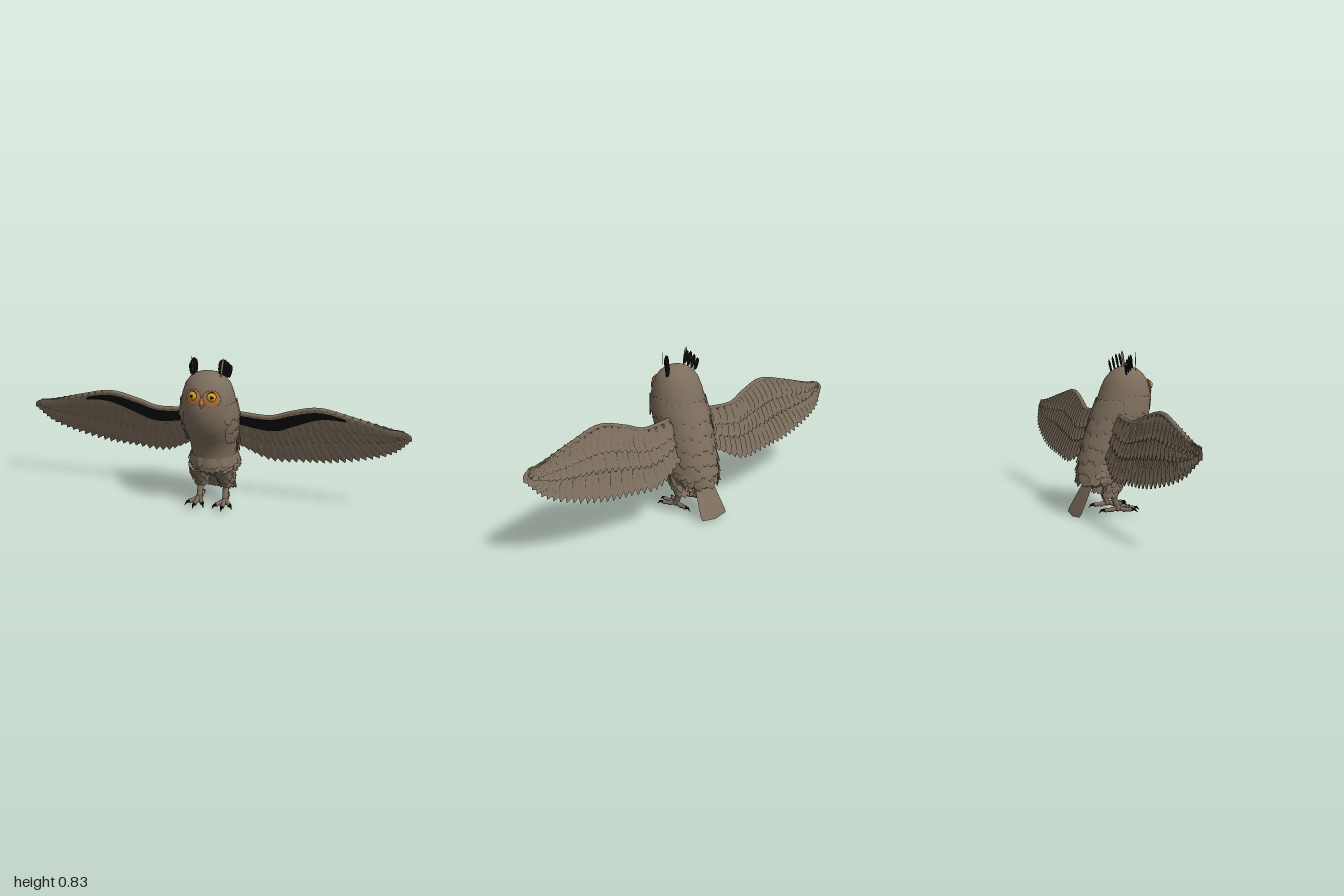
import * as THREE from 'three';
import { mergeGeometries } from 'three/addons/utils/BufferGeometryUtils.js';

const V = (x, y, z) => new THREE.Vector3(x, y, z);
const lerp = THREE.MathUtils.lerp;

function material(name, color, side = THREE.FrontSide) {
  const m = new THREE.MeshStandardMaterial({ color, side });
  m.name = name;
  return m;
}

// Skin over rows of points; columns run to the right, rows run up
function grid(rows, closed = false) {
  const n = rows[0].length, index = [];
  for (let i = 0; i < rows.length - 1; i++) {
    for (let j = 0; j < (closed ? n : n - 1); j++) {
      const k = (j + 1) % n, a = i * n + j, b = i * n + k, c = a + n, d = b + n;
      index.push(a, b, d, a, d, c);
    }
  }
  const g = new THREE.BufferGeometry().setFromPoints(rows.flat());
  g.setIndex(index);
  g.computeVertexNormals();
  return g;
}

// Cambered leaf-shaped feather from base to tip, facing along normal
const LEAF = [[0, 0.55], [0.3, 0.9], [0.65, 1], [0.88, 0.75], [1, 0.06]];
const BLUNT = [[0, 0.4], [0.4, 0.8], [0.9, 1], [1, 0.75]];
function feather(base, tip, width, normal, outline = LEAF) {
  const dir = tip.clone().sub(base);
  const side = normal.clone().cross(dir).normalize();
  const up = dir.clone().cross(side).normalize();
  return grid(outline.map(([t, w]) => [-1, 0, 1].map((s) =>
    base.clone().addScaledVector(dir, t)
      .addScaledVector(side, s * w * width / 2)
      .addScaledVector(up, s ? 0 : width * 0.1))));
}

// Body sections: y, front z, back z, half width
const BODY = [
  [0.14, -0.11, -0.13, 0.01], [0.16, -0.05, -0.153, 0.055], [0.2, 0.03, -0.16, 0.09],
  [0.25, 0.08, -0.16, 0.11], [0.3, 0.09, -0.15, 0.115], [0.35, 0.1, -0.14, 0.12],
  [0.4, 0.13, -0.125, 0.127], [0.45, 0.167, -0.11, 0.133], [0.5, 0.195, -0.095, 0.138],
  [0.55, 0.208, -0.08, 0.14], [0.6, 0.213, -0.065, 0.138], [0.65, 0.207, -0.047, 0.13],
  [0.7, 0.187, -0.023, 0.114], [0.73, 0.165, 0.003, 0.092], [0.75, 0.14, 0.03, 0.064],
  [0.76, 0.117, 0.056, 0.036], [0.765, 0.088, 0.085, 0.002]];

function section(y) {
  let i = 0;
  while (i < BODY.length - 2 && BODY[i + 1][0] < y) i++;
  const t = THREE.MathUtils.clamp((y - BODY[i][0]) / (BODY[i + 1][0] - BODY[i][0]), 0, 1);
  return BODY[i].map((v, k) => lerp(v, BODY[i + 1][k], t));
}
// Point on the body at height y and angle a (0 = front, 90 degrees = left), lifted outward
function onBody(y, a, lift = 0) {
  const [, f, b, rx] = section(y), rz = (f - b) / 2;
  const n = V(Math.sin(a) / rx, 0, Math.cos(a) / rz).normalize();
  return V(Math.sin(a) * rx, y, (f + b) / 2 + Math.cos(a) * rz).addScaledVector(n, lift);
}

// Shingled rows of feathers on the body: [y, length, lift]
function plumes(rows, from, to, count, width) {
  const out = [];
  rows.forEach(([y, len, lift], r) => {
    for (let i = 0; i < count; i++) {
      const a = THREE.MathUtils.degToRad(lerp(from, to, (i + (r % 2) * 0.5) / (count - 0.5)));
      const l = len * (1 + 0.12 * Math.sin(i * 2.4 + r));
      const base = onBody(y, a, 0.002), tip = onBody(y - l, a, lift);
      const n = onBody(y, a, 1).sub(onBody(y, a));
      out.push(feather(base, tip, width, n));
    }
  });
  return out;
}

// Tapered round rod between two points
function rod(a, b, r1, r2, sides = 12) {
  const d = b.clone().sub(a), g = new THREE.CylinderGeometry(r2, r1, d.length(), sides);
  g.applyQuaternion(new THREE.Quaternion().setFromUnitVectors(V(0, 1, 0), d.clone().normalize()));
  const c = a.clone().add(b).multiplyScalar(0.5);
  return g.translate(c.x, c.y, c.z);
}
const ball = (p, r) => new THREE.SphereGeometry(r, 14, 10).translate(p.x, p.y, p.z);

export function createModel() {
  const owl = new THREE.Group();
  owl.name = 'owl';
  const brown = material('plumage brown', 0x7d6e5d);
  const brownFeather = material('feather brown', 0x7d6e5d, THREE.DoubleSide);
  const black = material('black', 0x0c0c0c, THREE.DoubleSide);
  const tan = material('face tan', 0xad7443);
  const gold = material('eye gold', 0xd0a21f);
  const add = (name, geo, mat) => {
    const m = new THREE.Mesh(Array.isArray(geo) ? mergeGeometries(geo) : geo, mat);
    m.name = name;
    owl.add(m);
    return m;
  };

  // Body and head in one smooth skin
  add('body', grid(BODY.map(([y]) => Array.from({ length: 40 }, (_, j) =>
    onBody(y, Math.PI + j * Math.PI / 20))), true), brown);

  // Body plumage
  add('backFeathers', plumes([[0.6, 0.11, 0.014], [0.53, 0.11, 0.016], [0.46, 0.11, 0.02],
    [0.39, 0.11, 0.024], [0.32, 0.1, 0.028], [0.27, 0.1, 0.034]], 115, 245, 9, 0.055), brownFeather);
  add('skirtFeathers', plumes([[0.25, 0.075, 0.045], [0.275, 0.06, 0.04], [0.3, 0.06, 0.028]],
    -125, 125, 22, 0.036), brownFeather);
  for (const s of [1, -1]) {
    add('shoulderFeathers', plumes([[0.5, 0.11, 0.008], [0.56, 0.1, 0.01], [0.62, 0.1, 0.012]],
      55 * s, 110 * s, 5, 0.055), brownFeather);
  }

  // Tail fan
  const tail = [];
  for (let i = -4; i <= 4; i++) {
    const z = -Math.abs(i) * 0.0015;
    tail.push(feather(V(i * 0.011, 0.2, -0.117 - z), V(i * 0.017, 0.006 + Math.abs(i) * 0.002, -0.214 - z),
      0.036, V(0, 0.45, -0.9), BLUNT));
  }
  add('tail', tail, brownFeather);

  for (const s of [1, -1]) {
    const P = (x, y, z) => V(x * s, y, z);

    // Wing: feathers run from the leading edge to the trailing edge on a tilted plane
    const W = (x, y) => P(x, y, 0.39 * (y - 0.55));
    const lead = new THREE.CatmullRomCurve3([W(0.11, 0.525), W(0.3, 0.515), W(0.4, 0.55),
      W(0.54, 0.585), W(0.7, 0.55), W(0.85, 0.505), W(0.97, 0.462)]);
    const trail = new THREE.CatmullRomCurve3([W(0.14, 0.31), W(0.29, 0.235), W(0.46, 0.245),
      W(0.62, 0.26), W(0.78, 0.3), W(0.92, 0.36), W(1, 0.45)]);
    const across = (t, k, z, sweep = 1) =>
      lead.getPoint(t * sweep).lerp(trail.getPoint(t), k).add(V(0, 0, z));
    const row = (count, k0, k1, z, width, sweep) => Array.from({ length: count }, (_, i) => {
      const t = i / (count - 1);
      return feather(across(t, k0, z, sweep), across(t, k1, z + (i % 2) * 0.001, sweep), width, P(0.08, -0.39, 1));
    });
    add('flightFeathers', row(28, 0.2, 1, 0, 0.06, 0.86), brownFeather);
    add('wingCoverts', [...row(26, 0.02, 0.62, -0.008, 0.06, 0.92), ...row(24, 0, 0.36, -0.014, 0.06, 0.95),
      ...row(26, 0.02, 0.6, 0.006, 0.06, 0.92), ...row(24, 0, 0.36, 0.011, 0.055, 0.95)], brownFeather);
    add('wingEdge', new THREE.TubeGeometry(lead, 40, 0.011, 8), brown);

    // Dark band under the leading edge
    const band = [];
    for (let i = 0; i <= 20; i++) {
      const t = i / 20 * 0.64, w = lerp(0.25, 0.06, Math.max(0, (t - 0.25) / 0.39));
      band.push([across(t, 0.035, 0.02), across(t, 0.035 + w, 0.02)]);
    }
    add('wingBand', grid(band), black);

    // Feathered thigh and bare shank
    add('thigh', [rod(P(0.065, 0.24, 0.03), P(0.068, 0.115, -0.028), 0.055, 0.024, 18)], brown);
    const trousers = [];
    for (let r = 0; r < 3; r++) {
      for (let i = 0; i < 9; i++) {
        const a = (i + r * 0.5) / 9 * Math.PI * 2, c = Math.sin(a), d = Math.cos(a);
        const y = 0.17 + r * 0.03, R = 0.034 + r * 0.009;
        trousers.push(feather(P(0.067 + c * R, y, -0.005 + r * 0.014 + d * R),
          P(0.067 + c * (R + 0.004), y - 0.07, -0.04 + r * 0.012 + d * (R + 0.004)), 0.032, P(c, 0, d)));
      }
    }
    add('thighFeathers', trousers, brownFeather);
    add('shank', rod(P(0.068, 0.14, -0.03), P(0.07, 0.045, 0.008), 0.018, 0.015), brown);

    // Foot: three toes forward, one back, each with a hooked claw
    const heel = P(0.07, 0.043, 0.008), toes = [ball(heel, 0.018)], claws = [];
    for (const [x, z] of [[0.04, 0.07], [0.074, 0.088], [0.105, 0.062], [0.068, -0.058]]) {
      const end = P(x, 0.037, z), out = end.clone().sub(heel).setY(0).normalize();
      const mid = heel.clone().lerp(end, 0.5).setY(0.036);
      toes.push(rod(heel, mid, 0.013, 0.011), ball(mid, 0.013), rod(mid, end, 0.011, 0.01), ball(end, 0.012));
      const bend = end.clone().addScaledVector(out, 0.022).add(V(0, 0.002, 0));
      claws.push(rod(end, bend, 0.01, 0.006, 8), ball(bend, 0.006),
        rod(bend, end.clone().addScaledVector(out, 0.04).setY(0.024), 0.006, 0.0005, 8));
    }
    add('toes', toes, brown);
    add('claws', claws, black);

    // Facial disc, eye and pupil, turned slightly outward
    const face = new THREE.Group();
    face.name = 'face';
    face.position.copy(P(0.045, 0.66, 0.192));
    face.rotation.set(-0.12, 0.33 * s, 0, 'YXZ');
    const disc = (name, r, depth, y, z, mat) => {
      const m = new THREE.Mesh(new THREE.SphereGeometry(r, 24, 16), mat);
      m.name = name;
      m.scale.z = depth / r;
      m.position.set(0, y, z);
      face.add(m);
    };
    disc('facialDisc', 0.044, 0.011, -0.006, 0, tan);
    disc('eyeRim', 0.026, 0.009, 0.006, 0.005, black);
    disc('eye', 0.023, 0.015, 0.006, 0.005, gold);
    disc('pupil', 0.008, 0.003, 0.006, 0.0185, black);
    owl.add(face);

    // Ear tuft: a line of upright feathers
    const tuft = [[0.062, 0.09, 0.765, 0.825], [0.072, 0.075, 0.755, 0.822],
      [0.082, 0.06, 0.745, 0.807], [0.092, 0.045, 0.735, 0.79]];
    add('earTuft', tuft.map(([x, z, y0, y1]) =>
      feather(P(x, y0 - 0.01, z), P(x + 0.008, y1, z - 0.012), 0.03, V(0, 0, 1))), black);
    add('earTuftFront', feather(P(0.07, 0.745, 0.108), P(0.08, 0.838, 0.098), 0.014, P(0.7, 0, 0.7)), brownFeather);
  }

  // Beak, hooked downward between the eyes
  add('beak', [rod(V(0, 0.665, 0.2), V(0, 0.635, 0.207), 0.008, 0.014),
    ball(V(0, 0.635, 0.207), 0.014), rod(V(0, 0.635, 0.207), V(0, 0.608, 0.214), 0.014, 0.001)], tan);
  return owl;
}
